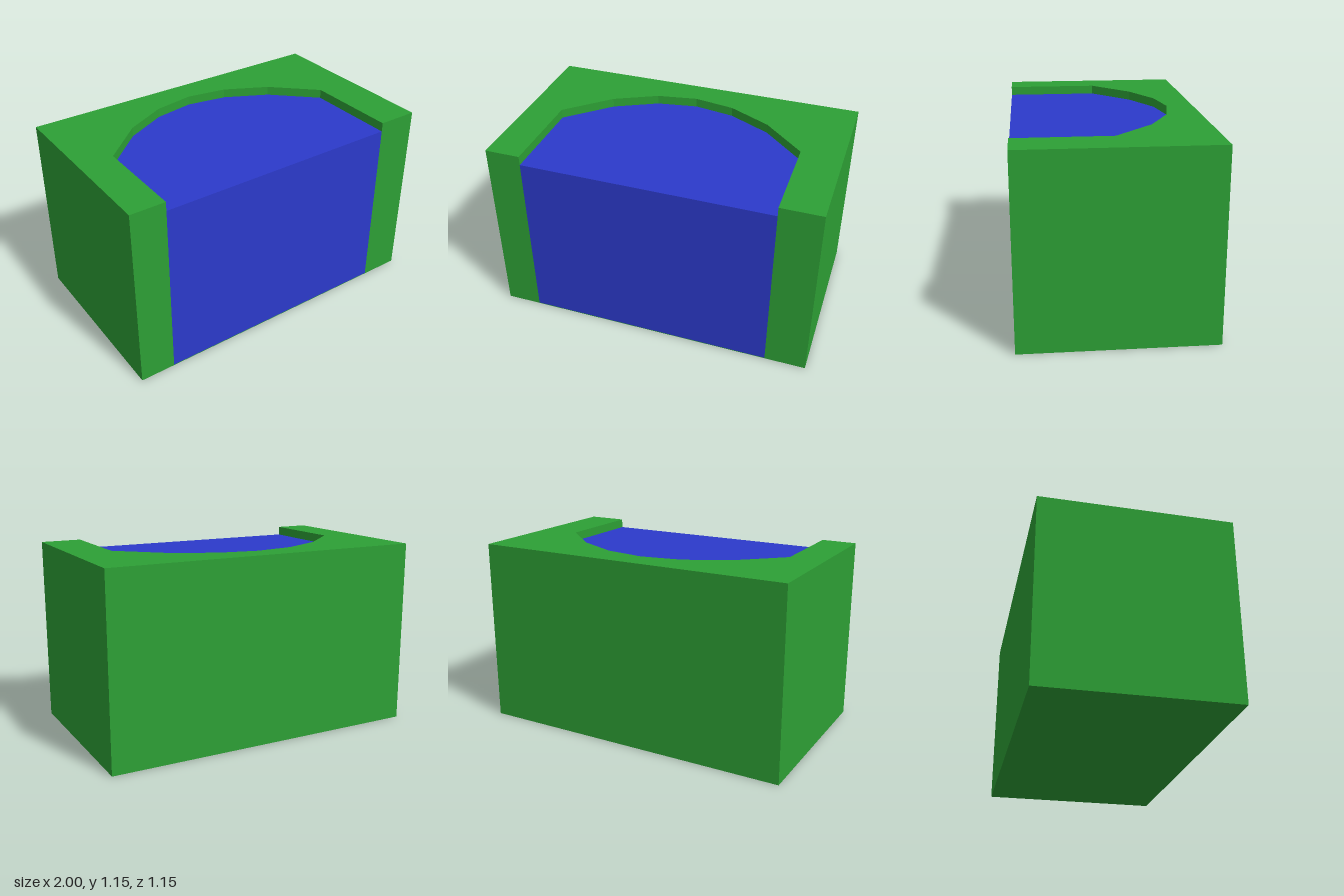
import * as THREE from 'three';

const WIDTH = 2, DEPTH = 1.154, HEIGHT = 1.154;
const FILL_TOP = 1.098, FLOOR = 0.004;
const CENTRE = -0.018, FRONT = -DEPTH / 2;

// Plan points are (x, -z); the outline is extruded upwards from y = bottom.
function extrudePlan(points, bottom, top) {
  const shape = new THREE.Shape(points.map(([x, y]) => new THREE.Vector2(x, y)));
  const geometry = new THREE.ExtrudeGeometry(shape, { depth: top - bottom, bevelEnabled: false });
  return geometry.rotateX(-Math.PI / 2).translate(0, bottom, 0);
}

function addPart(group, name, geometry, material) {
  const mesh = new THREE.Mesh(geometry, material);
  mesh.name = name;
  group.add(mesh);
}

export function createModel() {
  const group = new THREE.Group();
  group.name = 'archedBlock';

  const green = new THREE.MeshStandardMaterial({ color: 0x2da035 });
  green.name = 'green';
  const blue = new THREE.MeshStandardMaterial({ color: 0x2c3acb });
  blue.name = 'blue';

  // Half of the faceted recess, mirrored about its centre line
  const half = [[0.766, FRONT], [0.766, 0], [0.51, 0.237], [0.25, 0.368]];
  const recess = [
    ...half.map(([x, y]) => [CENTRE + x, y]),
    [CENTRE, 0.41],
    ...half.map(([x, y]) => [CENTRE - x, y]).reverse(),
  ];

  // Surround: rectangular block cut away by the recess from the front
  const surround = [
    [WIDTH / 2, FRONT], [WIDTH / 2, -FRONT], [-WIDTH / 2, -FRONT], [-WIDTH / 2, FRONT],
    ...[...recess].reverse(),
  ];
  addPart(group, 'surround', extrudePlan(surround, 0, HEIGHT), green);

  // Filling stands on a thin floor and stops just below the rim
  addPart(group, 'filling', extrudePlan(recess, FLOOR, FILL_TOP), blue);
  addPart(group, 'floor', extrudePlan(recess, 0, FLOOR), green);

  return group;
}
